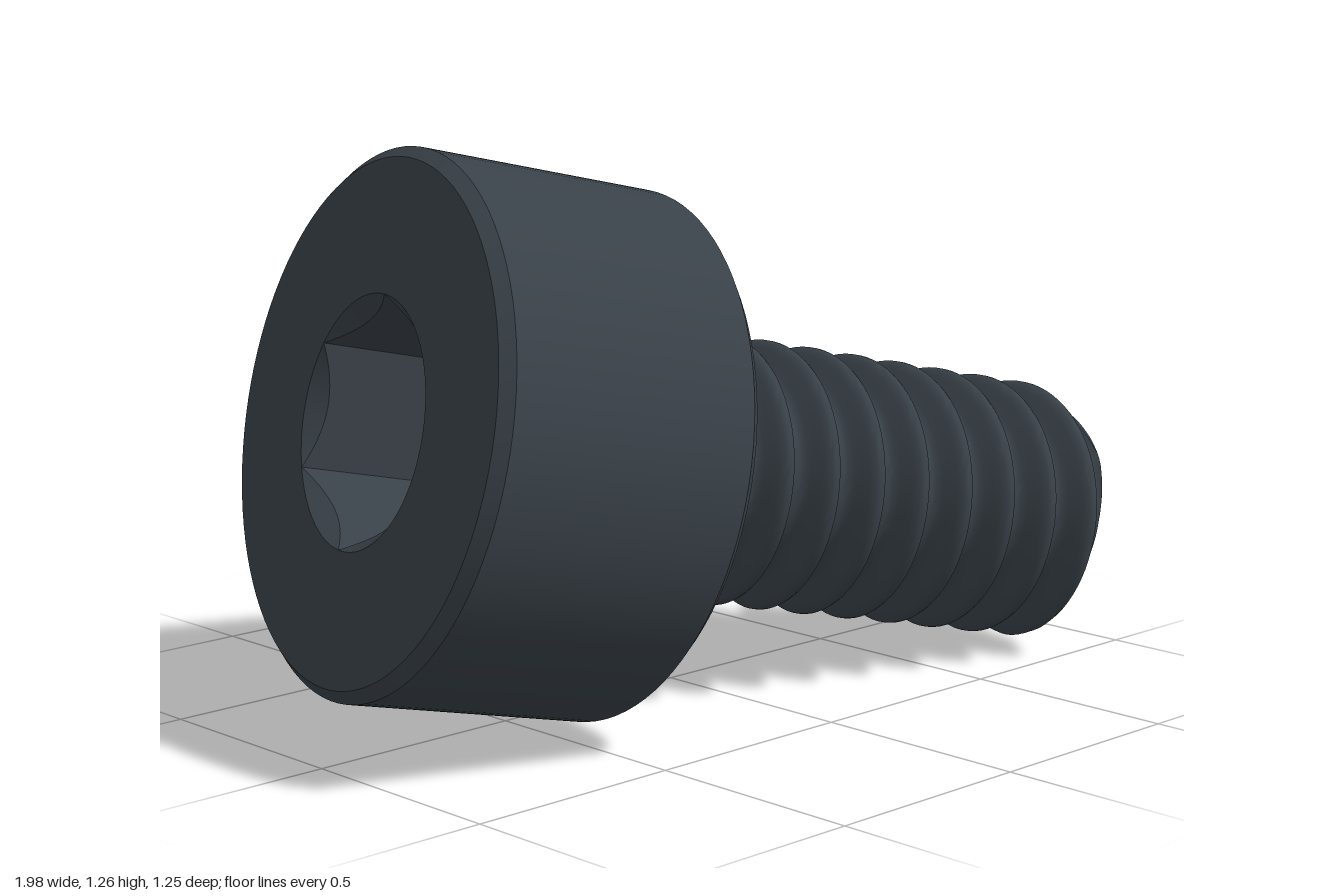
import * as THREE from 'three';
import { toCreasedNormals } from 'three/addons/utils/BufferGeometryUtils.js';

const TAU = Math.PI * 2;

// Surface around the local y axis: at(row, angle) returns [radius, distance along axis]
function loft(rows, segs, at, crease) {
  const pos = [], index = [];
  for (let i = 0; i < rows; i++) {
    for (let j = 0; j <= segs; j++) {
      const a = (j / segs) * TAU;
      const [r, s] = at(i, a);
      const t = ((j % segs) / segs) * TAU;
      pos.push(r * Math.sin(t), s, r * Math.cos(t));
    }
  }
  const p = k => new THREE.Vector3().fromArray(pos, k * 3);
  const tri = (a, b, c) => {
    const area = p(b).sub(p(a)).cross(p(c).sub(p(a))).length();
    if (area > 1e-9) index.push(a, b, c);
  };
  for (let i = 0; i < rows - 1; i++) {
    for (let j = 0; j < segs; j++) {
      const a = i * (segs + 1) + j, c = a + segs + 1;
      tri(a, a + 1, c);
      tri(a + 1, c + 1, c);
    }
  }
  const g = new THREE.BufferGeometry();
  g.setAttribute('position', new THREE.Float32BufferAttribute(pos, 3));
  g.setIndex(index);
  return toCreasedNormals(g, crease);
}

// Chamfered cylinder head with a countersunk hex socket
function headGeometry() {
  const socketR = 0.27, depth = 0.3;
  const hex = a => socketR * Math.cos(Math.PI / 6) / Math.cos((a % (Math.PI / 3)) - Math.PI / 6);
  const outer = [[socketR, 0], [0.556, 0], [0.582, 0.025], [0.582, 0.585], [0.556, 0.61], [0.2, 0.61]];
  return loft(3 + outer.length, 96, (i, a) => {
    const h = hex(a);
    if (i === 0) return [0, depth];
    if (i === 1) return [h, depth];
    if (i === 2) return [h, socketR - h];
    return outer[i - 3];
  }, 0.5);
}

// Threaded shank: rows follow the helix and are clamped at both ends
function shankGeometry() {
  const start = 0.605, end = 1.827, pitch = 0.1235, firstCrest = 0.733;
  const root = 0.232, height = 0.07, perTurn = 16;
  const smooth = THREE.MathUtils.smoothstep;
  const radius = (s, a) => {
    const phase = (s - firstCrest) / pitch - a / TAU;
    const t = Math.abs(phase - Math.round(phase));
    const ridge = 1 - THREE.MathUtils.clamp((t - 0.06) / 0.32, 0, 1);
    const rounded = 0.5 * ridge + 0.5 * smooth(ridge, 0, 1);
    const thread = root + height * rounded * smooth(s, 0.63, 0.71);
    const fillet = s < 0.7 ? 0.24 + 0.1 * ((0.7 - s) / 0.09) ** 2 : 0;
    const tipChamfer = 0.25 + (end - s) * 1.0;
    return Math.min(Math.max(thread, fillet), Math.max(tipChamfer, 0.2));
  };
  const rows = Math.ceil(((end - start) / pitch + 1) * perTurn) + 1;
  return loft(rows + 1, 80, (i, a) => {
    if (i === rows) return [0, end];
    const s = THREE.MathUtils.clamp(
      start + pitch * (i / perTurn - 1 + a / TAU), start, end);
    return [radius(s, a), s];
  }, 0.7);
}

export function createModel() {
  const steel = new THREE.MeshStandardMaterial({ color: 0x394148 });
  steel.name = 'dark steel';

  const screw = new THREE.Group();
  screw.name = 'socketScrew';
  const add = (name, geometry) => {
    const mesh = new THREE.Mesh(geometry, steel);
    mesh.name = name;
    screw.add(mesh);
  };
  add('head', headGeometry());
  add('threadedShank', shankGeometry());

  // Local y runs from the head to the tip; lay the screw along its tilted axis
  const axis = new THREE.Vector3(1, -0.226, 0.217).normalize();
  const up = new THREE.Vector3(0, 1, 0).addScaledVector(axis, -axis.y).normalize();
  const side = new THREE.Vector3().crossVectors(axis, up);
  screw.quaternion.setFromRotationMatrix(new THREE.Matrix4().makeBasis(side, axis, up));
  screw.position.set(-0.831, 0.697, -0.063);

  const model = new THREE.Group();
  model.name = 'model';
  model.add(screw);
  return model;
}
